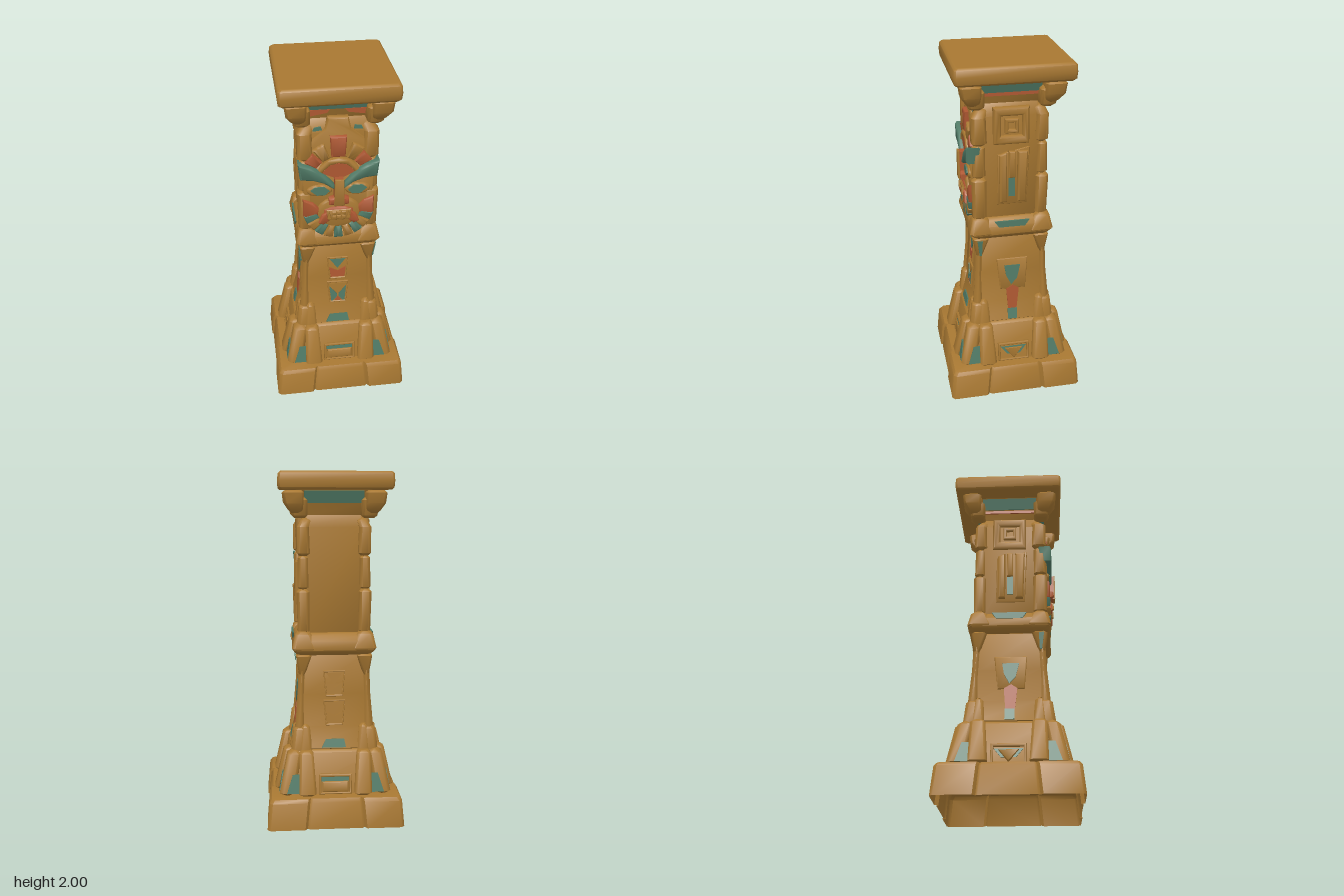
import * as THREE from 'three';
import { toCreasedNormals } from 'three/addons/utils/BufferGeometryUtils.js';

const material = (name, color) => {
  const m = new THREE.MeshStandardMaterial({ color, side: THREE.DoubleSide });
  m.name = name;
  return m;
};

export function createModel() {
  const root = new THREE.Group();
  root.name = 'totemPillar';
  const stone = material('sandstone', 0xa87832);
  const teal = material('teal paint', 0x507a66);
  const rust = material('rust paint', 0xad5731);

  const add = (parent, name, geo, mat) => {
    const m = new THREE.Mesh(toCreasedNormals(geo, 0.85), mat);
    m.name = name;
    parent.add(m);
    return m;
  };

  // Skin a stack of rings, each a list of [x, y, z]
  const loft = (rings, capBottom = true, capTop = true) => {
    const n = rings[0].length, pos = [];
    const tri = (...p) => p.forEach(v => pos.push(...v));
    for (let i = 0; i < rings.length - 1; i++) for (let j = 0; j < n; j++) {
      const k = (j + 1) % n, a = rings[i], b = rings[i + 1];
      tri(a[j], a[k], b[k]);
      tri(a[j], b[k], b[j]);
    }
    const top = rings[rings.length - 1], bottom = rings[0];
    for (let j = 1; j < n - 1; j++) {
      if (capTop) tri(top[0], top[j], top[j + 1]);
      if (capBottom) tri(bottom[0], bottom[j + 1], bottom[j]);
    }
    const g = new THREE.BufferGeometry();
    g.setAttribute('position', new THREE.Float32BufferAttribute(pos, 3));
    return g;
  };

  // Rectangle with cut corners
  const ring = ([y, x0, x1, z0, z1], c) => [
    [x1, z1 - c], [x1, z0 + c], [x1 - c, z0], [x0 + c, z0],
    [x0, z0 + c], [x0, z1 - c], [x0 + c, z1], [x1 - c, z1]].map(([x, z]) => [x, y, z]);

  // Worn block through sections [y, x0, x1, z0, z1], with bevelled ends
  const block = (parent, name, sections, c = 0.015, open = false) => {
    const inset = ([y, x0, x1, z0, z1], d) => [y, x0 + d, x1 - d, z0 + d, z1 - d];
    const s = sections.map(r => [...r]), first = [...s[0]], last = [...s[s.length - 1]];
    s[s.length - 1][0] -= c;
    if (!open) s[0][0] += c;
    const end = [inset(last, c), inset(last, c * 1.4)];
    const all = open ? [...s, ...end] : [inset(first, c), ...s, ...end];
    return add(parent, name, loft(all.map(r => ring(r, c)), !open), stone);
  };
  const square = (y, h) => [y, -h, h, -h, h];

  // Group lying on side k: 0 front, 1 right, 2 back, 3 left
  const side = (name, k, y, z, tilt = 0) => {
    const g = new THREE.Group(), a = k * Math.PI / 2;
    g.name = name;
    g.position.set(z * Math.sin(a), y, z * Math.cos(a));
    g.rotation.set(tilt, a, 0, 'YXZ');
    root.add(g);
    return g;
  };

  // Extruded outline, optionally with a hole and a softened rim
  const slab = (parent, name, mat, pts, z, depth, bevel = 0, hole = null) => {
    const shape = new THREE.Shape(pts.map(p => new THREE.Vector2(...p)));
    if (hole) shape.holes.push(new THREE.Path(hole.map(p => new THREE.Vector2(...p))));
    const g = new THREE.ExtrudeGeometry(shape, {
      depth: depth - bevel, bevelEnabled: bevel > 0, bevelSize: bevel, bevelOffset: -bevel,
      bevelThickness: bevel, bevelSegments: 1 });
    g.translate(0, 0, z);
    return add(parent, name, g, mat);
  };
  const rect = (x0, x1, y0, y1) => [[x0, y0], [x1, y0], [x1, y1], [x0, y1]];
  const mirror = (pts, s) => pts.map(([x, y]) => [x * s, y]);
  const sector = (cy, r0, r1, a0, a1) => {
    const arc = (r, from, to) => Array.from({ length: 7 }, (_, i) => {
      const a = (from + (to - from) * i / 6) * Math.PI / 180;
      return [r * Math.cos(a), cy + r * Math.sin(a)];
    });
    return [...arc(r1, a0, a1), ...arc(r0, a1, a0)];
  };
  const ellipse = (cx, cy, rx, ry) => Array.from({ length: 20 }, (_, i) =>
    [cx + rx * Math.cos(i * Math.PI / 10), cy + ry * Math.sin(i * Math.PI / 10)]);

  // Hollow plinth with joints between corner and middle blocks
  const plinthRing = ([y, s, joint]) => {
    const pts = [], c = 0.018, t = s - 0.008, groove = s - 0.02;
    let q = [[s, s - c], [s, joint + 0.018], [groove, joint + 0.003], [t, joint - 0.01],
      [t, 0.01 - joint], [groove, -joint - 0.003], [s, -joint - 0.018], [s, c - s]];
    for (let k = 0; k < 4; k++) {
      pts.push(...q.map(([x, z]) => [x, y, z]));
      q = q.map(([x, z]) => [z, -x]);
    }
    return pts;
  };
  const plinth = [[0, 0.393, 0.16], [0.155, 0.379, 0.145], [0.175, 0.366, 0.14], [0.178, 0.28, 0.13]];
  add(root, 'plinth', loft(plinth.map(plinthRing), false, false), stone);

  // Stepped foot, tapering shaft, collar, head and neck
  block(root, 'foot', [square(0.17, 0.3), square(0.43, 0.258)], 0.015, true);
  block(root, 'shaft', [square(0.41, 0.245), square(0.56, 0.212), square(0.75, 0.198), square(1.0, 0.19)], 0.025);
  block(root, 'collar', [square(0.978, 0.222), square(1.01, 0.235), square(1.06, 0.23), square(1.105, 0.212)], 0.018);
  block(root, 'headCore', [[1.06, -0.19, 0.19, -0.175, 0.195], [1.7, -0.19, 0.19, -0.175, 0.195],
    [1.79, -0.165, 0.165, -0.165, 0.17]], 0.02);
  block(root, 'neck', [square(1.74, 0.165), square(1.83, 0.18), square(1.93, 0.215)], 0.02);
  block(root, 'capStone', [[1.902, -0.315, 0.308, -0.325, 0.315], [1.95, -0.318, 0.312, -0.328, 0.318],
    [2, -0.315, 0.308, -0.325, 0.315]], 0.012);

  // Corner stones, repeated at each corner
  for (let k = 0; k < 4; k++) {
    const corner = new THREE.Group();
    corner.name = 'corner' + k;
    corner.rotation.y = k * Math.PI / 2;
    root.add(corner);
    const cube = (name, rows, c) => block(corner, name, rows.map(([y, a, b]) => [y, a, b, a, b]), c);
    cube('buttress', [[0.172, 0.23, 0.32], [0.432, 0.19, 0.274]], 0.02);
    cube('buttressStep', [[0.4, 0.15, 0.25], [0.565, 0.15, 0.236]], 0.018);
    cube('shaftRib', [[0.5, 0.17, 0.23], [0.75, 0.17, 0.21], [0.98, 0.16, 0.203]], 0.02);
    cube('collarSupport', [[0.84, 0.17, 0.2], [0.985, 0.13, 0.218]], 0.012);
    cube('collarCorner', [[0.98, 0.11, 0.226], [1.02, 0.1, 0.24], [1.118, 0.13, 0.222]], 0.018);
    // Head corners are shallower toward the back
    const pull = k === 1 || k === 2 ? -0.012 : 0;
    cube('headCornerLow', [[1.1, 0.14, 0.218 + pull], [1.355, 0.14, 0.224 + pull]], 0.016);
    cube('headCornerMiddle', [[1.35, 0.145, 0.217 + pull], [1.545, 0.145, 0.215 + pull]], 0.016);
    cube('headCornerHigh', [[1.54, 0.135, 0.219 + pull], [1.7, 0.14, 0.219 + pull], [1.75, 0.13, 0.19]], 0.016);
    cube('bracketLow', [[1.75, 0.15, 0.236], [1.86, 0.15, 0.25]], 0.014);
    cube('bracketHigh', [[1.775, 0.175, 0.25], [1.83, 0.172, 0.277], [1.9, 0.17, 0.284]], 0.014);
    // Stepped fingers flanking each corner, on both of its faces
    const finger = (name, rows, c) => {
      block(corner, name, rows, c);
      block(corner, name, rows.map(([y, x0, x1, z0, z1]) => [y, z0, z1, x0, x1]), c);
    };
    finger('fingerLow', [[0.178, 0.11, 0.21, 0.255, 0.346], [0.432, 0.125, 0.205, 0.2, 0.294]], 0.014);
    finger('fingerHigh', [[0.4, 0.128, 0.205, 0.17, 0.258], [0.575, 0.142, 0.195, 0.17, 0.238]], 0.016);
  }

  for (let k = 0; k < 4; k++) {
    // Painted recesses between the buttresses
    const low = side('footPanel', k, 0.178, 0.302, -0.17);
    slab(low, 'nicheFrame', stone, rect(-0.095, 0.095, 0, 0.118), -0.003, 0.013, 0.005, rect(-0.08, 0.08, 0.012, 0.1));
    if (k % 2) {
      slab(low, 'nichePaint', teal, [[-0.078, 0.09], [-0.04, 0.04], [0.04, 0.04], [0.078, 0.09]], -0.002, 0.004);
      slab(low, 'nicheWedge', stone, [[-0.055, 0.082], [0, 0.012], [0.055, 0.082]], -0.002, 0.012, 0.004);
    } else {
      slab(low, 'nichePaint', teal, rect(-0.08, 0.08, 0.075, 0.1), -0.002, 0.005);
      slab(low, 'nicheBlock', stone, rect(-0.075, 0.075, 0.012, 0.074), -0.002, 0.011, 0.006);
    }
    for (const s of [-1, 1])
      slab(low, 'buttressPaint', teal, mirror([[0.2, 0.01], [0.28, 0.01], [0.245, 0.12], [0.2, 0.12]], s), 0.014, 0.008);
    const step = side('stepPaint', k, 0.435, 0.246, -0.22);
    slab(step, 'stepTeal', teal, k % 2 ? rect(-0.025, 0.03, 0.005, 0.07) : [[-0.075, 0.005], [0.065, 0.005], [0.055, 0.055], [-0.05, 0.055]], 0, 0.007);

    // Carvings on the shaft
    const mid = side('shaftPanel', k, 0.55, 0.214, -0.07);
    if (k % 2) {
      slab(mid, 'shaftFrame', stone, [[-0.065, 0.08], [0.085, 0.08], [0.1, 0.28], [-0.085, 0.28]], -0.02, 0.025, 0.005);
      slab(mid, 'diamondPaint', teal, [[-0.04, 0.235], [-0.03, 0.17], [0, 0.11], [0.035, 0.15], [0.055, 0.235]], 0.004, 0.006);
      slab(mid, 'stripePaint', rust, [[-0.02, -0.06], [0.03, -0.06], [0.045, 0.08], [0.01, 0.105], [-0.03, 0.08]], 0.004, 0.006);
      // Paint under the collar, beside the front corners
      const under = side('collarUnderside', k, 0.87, 0.207, 0.12);
      const s = k === 1 ? -1 : 1;
      slab(under, 'cornerTeal', teal, mirror([[0.168, 0.1], [0.172, 0], [0.185, 0], [0.198, 0.1]], s), 0, 0.006);
    } else {
      for (const y of [0.015, 0.185]) {
        const high = y > 0.1, front = k === 0;
        const o = [[-0.05, y], [0.05, y], [0.063, y + 0.15], [-0.063, y + 0.15]];
        slab(mid, 'carvedFrame', stone, o, -0.02, 0.028, 0.003, o.map(([x, v]) => [x * 0.86, y + 0.075 + (v - y - 0.075) * 0.88]));
        slab(mid, 'carvedPanel', stone, o.map(([x, v]) => [x * 0.84, y + 0.075 + (v - y - 0.075) * 0.86]), -0.02, 0.02);
        slab(mid, 'carvedLow', front && high ? rust : stone, [[-0.041, y + 0.014], [0.041, y + 0.014], [0.048, y + 0.08], [0, y + 0.055], [-0.048, y + 0.08]], 0, 0.006);
        slab(mid, 'carvedWedge', front && high ? teal : stone, [[-0.046, y + 0.136], [0, y + 0.075], [0.046, y + 0.136]], 0, 0.006);
        if (front && !high) {
          slab(mid, 'carvedRust', rust, [[-0.022, y + 0.014], [0.022, y + 0.014], [0, y + 0.045]], 0.005, 0.004);
          for (const s of [-1, 1])
            slab(mid, 'carvedTeal', teal, mirror([[0.05, y + 0.115], [0.004, y + 0.06], [0.004, y + 0.045], [0.028, y + 0.014], [0.04, y + 0.014]], s), 0.002, 0.006);
        }
      }
    }

    // Painted frieze below the cap
    const frieze = side('frieze', k, 1.828, 0.181, 0.34);
    slab(frieze, 'friezeTeal', teal, rect(-0.165, 0.165, 0.005, 0.075), 0, 0.009);
    const trim = side('friezeTrim', k, 1.745, 0.175);
    if (k % 2) slab(trim, 'friezeRust', rust, rect(-0.155, 0.155, 0.064, 0.082), 0, 0.008);
    if (k === 0) for (const s of [-1, 1])
      slab(trim, 'friezeRust', rust, mirror([[0.055, 0.06], [0.145, 0.045], [0.15, 0.08], [0.04, 0.08]], s), 0, 0.008);
  }

  // Carved side panels of the head
  for (const k of [1, 3]) {
    const g = side('headSidePanel', k, 0, 0.19);
    slab(g, 'squareFrame', stone, rect(-0.1, 0.1, 1.54, 1.75), -0.01, 0.028, 0.012, rect(-0.055, 0.06, 1.59, 1.7));
    slab(g, 'squareInner', stone, rect(-0.035, 0.04, 1.605, 1.685), -0.01, 0.03, 0.006, rect(-0.017, 0.022, 1.625, 1.665));
    slab(g, 'barFrame', stone, [[-0.08, 1.18], [0.09, 1.18], [0.105, 1.52], [-0.075, 1.48]], -0.01, 0.014, 0.004);
    slab(g, 'barLeft', stone, [[-0.065, 1.2], [-0.025, 1.2], [-0.025, 1.5], [-0.068, 1.48]], 0, 0.028, 0.008);
    slab(g, 'barMiddle', stone, rect(-0.015, 0.022, 1.345, 1.5), 0, 0.026, 0.006);
    slab(g, 'barPaint', teal, rect(-0.015, 0.022, 1.23, 1.345), 0.004, 0.008);
    slab(g, 'barRight', stone, [[0.035, 1.2], [0.08, 1.2], [0.092, 1.5], [0.035, 1.5]], 0, 0.028, 0.008);
    slab(g, 'collarPaint', teal, [[-0.075, 1.055], [0.075, 1.055], [0.1, 1.092], [-0.1, 1.092]], 0.036, 0.009);
  }

  // Carved mask on the front
  const face = side('mask', 0, 0, 0);
  slab(face, 'facePlate', stone, [[-0.12, 1.1], [0.12, 1.1], [0.19, 1.2], [0.2, 1.44], [0.12, 1.52], [-0.12, 1.52], [-0.2, 1.44], [-0.19, 1.2]], 0.18, 0.042, 0.012);
  slab(face, 'chin', stone, ellipse(0, 1.22, 0.125, 0.1), 0.19, 0.045, 0.01);
  for (let i = 0; i < 9; i++) {
    const a = 193 + i * 17.1;
    slab(face, 'beardBlock', i % 2 ? stone : teal, sector(1.255, 0.125, 0.2, a + 1, a + 16), 0.18, 0.06, 0.006);
  }
  slab(face, 'foreheadArch', stone, sector(1.43, 0.1, 0.13, 12, 168), 0.18, 0.055, 0.006);
  slab(face, 'foreheadPaint', rust, sector(1.43, 0.015, 0.098, 25, 155), 0.219, 0.009);
  slab(face, 'crownBack', stone, [[-0.2, 1.55], [0.2, 1.55], [0.17, 1.64], [0.07, 1.72], [0.055, 1.785], [-0.055, 1.785], [-0.07, 1.72], [-0.17, 1.64]], 0.17, 0.036, 0.008);
  slab(face, 'crownCentre', rust, [[-0.037, 1.565], [0.037, 1.565], [0.045, 1.685], [-0.045, 1.685]], 0.18, 0.05, 0.006);
  for (const s of [1, -1]) {
    slab(face, 'crownBlock', stone, mirror(sector(1.43, 0.135, 0.225, 52, 70), s), 0.18, 0.048, 0.006);
    slab(face, 'crownRust', rust, mirror(sector(1.43, 0.135, 0.21, 30, 49), s), 0.18, 0.045, 0.006);
    slab(face, 'crownPaint', teal, mirror([[0.085, 1.715], [0.135, 1.71], [0.125, 1.73], [0.09, 1.735]], s), 0.191, 0.008);
    slab(face, 'brow', teal, mirror([[0.025, 1.375], [0.08, 1.415], [0.14, 1.437], [0.21, 1.445],
      [0.22, 1.54], [0.15, 1.518], [0.11, 1.493], [0.07, 1.46], [0.024, 1.405]], s), 0.18, 0.07, 0.01);
    slab(face, 'eyeSocket', stone, mirror(ellipse(0.105, 1.365, 0.07, 0.036), s), 0.2, 0.034, 0.008);
    slab(face, 'eye', teal, mirror([[0.05, 1.365], [0.075, 1.342], [0.12, 1.342], [0.155, 1.372], [0.13, 1.392], [0.08, 1.392]], s), 0.232, 0.009);
    slab(face, 'cheek', rust, mirror([[0.197, 1.315], [0.197, 1.21], [0.165, 1.175], [0.115, 1.205], [0.105, 1.25], [0.14, 1.29]], s), 0.2, 0.037, 0.008);
    slab(face, 'nostril', rust, mirror([[0.018, 1.285], [0.055, 1.285], [0.055, 1.32], [0.018, 1.335]], s), 0.2, 0.062, 0.008);
    slab(face, 'lipCorner', rust, mirror([[0.065, 1.235], [0.095, 1.215], [0.115, 1.165], [0.085, 1.152], [0.055, 1.175]], s), 0.2, 0.052, 0.008);
    slab(face, 'fang', stone, mirror([[0.042, 1.195], [0.066, 1.195], [0.054, 1.242]], s), 0.24, 0.02, 0.004);
  }
  slab(face, 'noseSides', rust, [[-0.028, 1.285], [0.028, 1.285], [0.024, 1.445], [-0.024, 1.445]], 0.2, 0.062);
  slab(face, 'noseBridge', stone, [[-0.029, 1.283], [0.029, 1.283], [0.025, 1.448], [-0.025, 1.448]], 0.262, 0.009, 0.003);
  slab(face, 'lips', rust, [[-0.085, 1.175], [0.085, 1.175], [0.08, 1.245], [0.035, 1.262], [-0.035, 1.262], [-0.08, 1.245]], 0.2, 0.043, 0.008);
  slab(face, 'mouth', stone, rect(-0.068, 0.068, 1.178, 1.245), 0.21, 0.037, 0.003);
  for (let i = -1; i <= 1; i++) for (const y of [1.188, 1.214])
    slab(face, 'tooth', stone, rect(i * 0.027 - 0.012, i * 0.027 + 0.012, y, y + 0.023), 0.24, 0.013, 0.003);

  return root;
}
